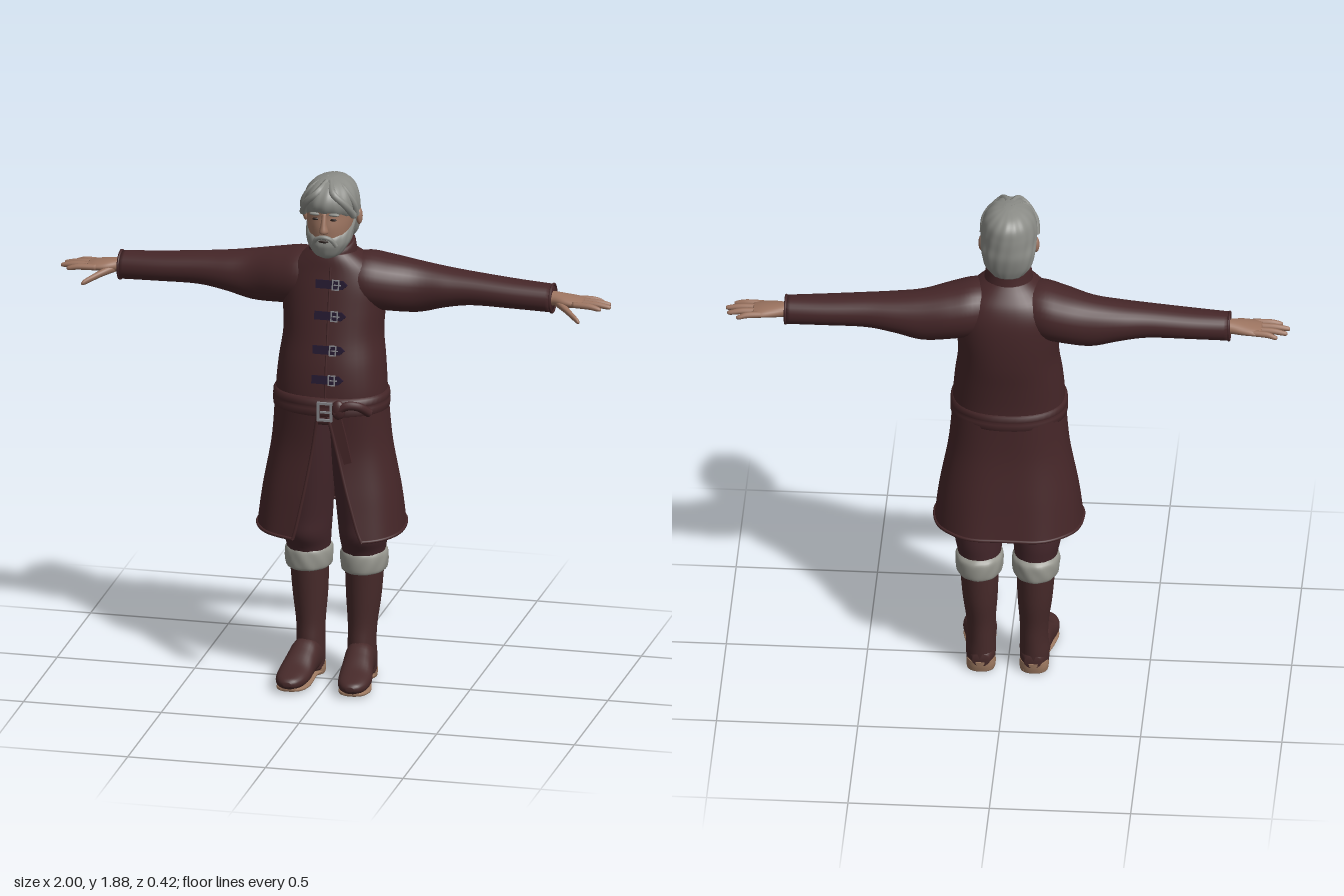
import * as THREE from 'three';

const mat = (name, color, side = THREE.FrontSide) => {
  const m = new THREE.MeshStandardMaterial({ color, side });
  m.name = name;
  return m;
};

// Smooth grid surface from fn(u, v) -> [x, y, z]; optionally closed round u and capped at both ends of v
function grid(fn, nu, nv, closed = false) {
  const pos = [], idx = [], cols = closed ? nu : nu + 1;
  for (let j = 0; j <= nv; j++) for (let i = 0; i < cols; i++) pos.push(...fn(i / nu, j / nv));
  const at = (i, j) => j * cols + (closed ? i % nu : i);
  for (let j = 0; j < nv; j++) for (let i = 0; i < nu; i++) {
    const a = at(i, j), b = at(i, j + 1), c = at(i + 1, j), d = at(i + 1, j + 1);
    idx.push(a, b, c, c, b, d);
  }
  if (closed) for (const end of [0, nv]) {
    const mid = [0, 0, 0], m = pos.length / 3;
    for (let i = 0; i < nu; i++) for (let k = 0; k < 3; k++) mid[k] += pos[at(i, end) * 3 + k] / nu;
    pos.push(...mid);
    for (let i = 0; i < nu; i++) idx.push(m, at(end ? i + 1 : i, end), at(end ? i : i + 1, end));
  }
  const g = new THREE.BufferGeometry();
  g.setAttribute('position', new THREE.Float32BufferAttribute(pos, 3));
  g.setIndex(idx);
  g.computeVertexNormals();
  return g;
}

// Catmull-Rom blend of rows of numbers
function blend(rows, t) {
  const n = rows.length - 1, i = Math.min(n - 1, Math.floor(t * n)), f = t * n - i;
  const r = k => rows[Math.max(0, Math.min(n, k))];
  return rows[0].map((_, k) => {
    const [a, b, c, d] = [r(i - 1)[k], r(i)[k], r(i + 1)[k], r(i + 2)[k]];
    return b + 0.5 * f * (c - a + f * (2 * a - 5 * b + 4 * c - d + f * (3 * (b - c) + d - a)));
  });
}

// Superellipse sections along an axis. Rows: y [y,x,z,rx,rz], x [x,z,y,rz,ry], z [z,y,x,ry,rx]
const order = { x: (t, a, b) => [t, b, a], y: (t, a, b) => [a, t, b], z: (t, a, b) => [b, a, t] };
function loft(axis, rows, { n = 28, steps = 5, p = 2, warp } = {}) {
  const pw = v => Math.sign(v) * Math.abs(v) ** (2 / p);
  return grid((u, v) => {
    const [t, a, b, ra, rb] = blend(rows, v), q = u * Math.PI * 2;
    const w = warp ? warp(q, t) : 1;
    return order[axis](t, a + ra * w * pw(Math.cos(q)), b + rb * w * pw(Math.sin(q)));
  }, n, (rows.length - 1) * steps, true);
}

function mirror(geo) {
  const g = geo.clone().scale(-1, 1, 1), ix = g.index.array;
  for (let i = 0; i < ix.length; i += 3) [ix[i], ix[i + 1]] = [ix[i + 1], ix[i]];
  g.computeVertexNormals();
  return g;
}

const tube = (pts, r, seg = 20, closed = false) => new THREE.TubeGeometry(
  new THREE.CatmullRomCurve3(pts.map(q => new THREE.Vector3(...q)), closed), seg, r, 8, closed);
const ball = (x, y, z, sx, sy, sz) => new THREE.SphereGeometry(1, 18, 12).scale(sx, sy, sz).translate(x, y, z);
const plate = (pts, depth) => new THREE.ExtrudeGeometry(
  new THREE.Shape(pts.map(q => new THREE.Vector2(...q))), { depth, bevelEnabled: false });
function frame(w, h, t, depth) {
  const rect = (a, b) => [[-a, -b], [a, -b], [a, b], [-a, b]].map(q => new THREE.Vector2(...q));
  const s = new THREE.Shape(rect(w / 2, h / 2));
  s.holes.push(new THREE.Path(rect(w / 2 - t, h / 2 - t)));
  return new THREE.ExtrudeGeometry(s, { depth, bevelEnabled: false });
}

export function createModel() {
  const model = new THREE.Group();
  model.name = 'beardedManInLongCoat';
  const coat = mat('coatMaroon', 0x452628, THREE.DoubleSide), trouser = mat('trouserMaroon', 0x43262a);
  const boot = mat('bootMaroon', 0x472a2a), skin = mat('skin', 0x9c7460), hair = mat('greyHair', 0x8b8c87);
  const fur = mat('cuffGrey', 0x97978f), strap = mat('strapPurple', 0x24172f), metal = mat('buckleMetal', 0x85858a);
  const sole = mat('soleTan', 0x9c7860), dark = mat('eyeDark', 0x2a1f1c);
  const add = (name, geo, m, parent = model) => {
    const o = new THREE.Mesh(geo, m);
    o.name = name;
    parent.add(o);
    return o;
  };
  const pair = (name, geo, m) => {
    add('left' + name, geo, m);
    add('right' + name, mirror(geo), m);
  };

  // Coat body and collar
  add('coatBody', loft('y', [[1.0, 0, .007, .198, .153], [1.1, 0, .007, .198, .153], [1.2, 0, -.003, .19, .153],
    [1.3, 0, -.02, .178, .15], [1.4, 0, -.032, .183, .143], [1.48, 0, -.037, .185, .132], [1.54, 0, -.033, .16, .115],
    [1.58, 0, -.02, .115, .095], [1.605, 0, -.01, .08, .078]], { n: 40, p: 2.25 }), coat);
  const collar = loft('y', [[1.565, 0, -.008, .094, .085], [1.6, 0, -.008, .086, .08], [1.632, 0, -.008, .08, .076],
    [1.635, 0, -.008, .07, .066]], { steps: 3 });
  const cp = collar.attributes.position;
  for (let i = 0; i < cp.count; i++) cp.setY(i, cp.getY(i) - cp.getZ(i) * .3);
  collar.computeVertexNormals();
  add('collar', collar, coat);
  add('placketSeam', tube([[.012, 1.56, .078], [.012, 1.48, .095], [.012, 1.4, .111], [.012, 1.3, .13],
    [.012, 1.2, .15], [.012, 1.1, .16]], .004), coat);

  // Sleeves
  pair('Sleeve', loft('x', [[.04, -.03, 1.49, .09, .09], [.12, -.042, 1.488, .112, .102], [.2, -.055, 1.477, .108, .099],
    [.3, -.07, 1.465, .088, .091], [.4, -.07, 1.47, .078, .071], [.5, -.068, 1.473, .068, .058],
    [.65, -.067, 1.466, .062, .052], [.785, -.067, 1.46, .053, .05]], { p: 2.1 }), coat);
  pair('SleeveHem', new THREE.TorusGeometry(.05, .005, 8, 28).rotateY(Math.PI / 2).translate(.784, 1.46, -.067), coat);

  // Hands
  pair('Palm', loft('x', [[.76, -.067, 1.46, .03, .026], [.79, -.067, 1.46, .032, .025], [.83, -.064, 1.457, .043, .023],
    [.87, -.065, 1.455, .048, .018], [.9, -.066, 1.453, .044, .012]]), skin);
  [[-.026, -.02, .972], [-.051, -.051, 1], [-.077, -.083, .993], [-.1, -.112, .96]].forEach(([z0, z1, tip], i) =>
    pair('Finger' + (i + 1), loft('x', [[.865, z0, 1.455, .011, .011], [(.88 + tip) / 2, (z0 + z1) / 2, 1.454, .011, .011],
      [tip - .012, z1, 1.448, .0085, .0085], [tip - .002, z1, 1.447, .004, .004]], { n: 12 }), skin));
  pair('Thumb', loft('x', [[.8, -.05, 1.453, .016, .016], [.84, -.02, 1.44, .018, .014], [.875, .012, 1.425, .012, .012],
    [.896, .028, 1.415, .01, .01], [.904, .033, 1.412, .004, .004]], { n: 14 }), skin);

  // Coat skirt, open at the front and draped in soft folds
  const rings = [[1.06, .008, .2, .158], [.9, 0, .214, .157], [.72, -.003, .246, .182], [.59, -.004, .262, .204]];
  const skirt = (u, v) => {
    const [y, zc, rx, rz] = blend(rings, v);
    const start = .03 + .5 * v, end = Math.PI * 2 - .02 - .3 * v;
    const q = start + (end - start) * u, pw = c => Math.sign(c) * Math.abs(c) ** .84;
    const fold = 1 + .025 * v * Math.cos(q * 7);
    return [rx * pw(Math.sin(q)) * (1 + .012 * v * Math.cos(q * 5)), y - .016 * v * Math.cos(q), zc + rz * fold * pw(Math.cos(q))];
  };
  add('coatSkirt', grid(skirt, 72, 20), coat);
  const along = (n, f) => Array.from({ length: n + 1 }, (_, i) => f(i / n));
  add('leftSkirtEdge', tube(along(10, t => skirt(0, t)), .006, 24), coat);
  add('rightSkirtEdge', tube(along(10, t => skirt(1, t)), .006, 24), coat);
  add('skirtHem', tube(along(40, t => skirt(t, 1)), .006, 90), coat);

  // Belt with buckle, tucked end and hanging tail
  add('belt', loft('y', [[1.03, 0, .01, .196, .152], [1.036, 0, .01, .207, .163], [1.06, 0, .01, .208, .164],
    [1.066, 0, .01, .201, .157], [1.072, 0, .01, .208, .164], [1.092, 0, .01, .206, .162], [1.1, 0, .01, .194, .15]],
  { n: 48, steps: 1, p: 2.2 }), coat);
  const buckle = add('beltBuckle', frame(.055, .07, .008, .01), metal);
  buckle.position.set(.015, 1.055, .174);
  add('buckleTongue', new THREE.BoxGeometry(.04, .007, .008).translate(.02, 1.055, .184), metal);
  add('beltKnot', ball(.062, 1.062, .17, .026, .036, .018), coat);
  add('beltEnd', tube([[.05, 1.05, .172], [.09, 1.078, .17], [.13, 1.075, .155], [.165, 1.045, .125]], .016), coat);
  add('beltTail', plate([[.03, 1.055], [.068, 1.055], [.09, .97], [.112, .872], [.085, .862], [.058, .95]], .012)
    .translate(0, 0, .164), coat);

  // Chest clasps
  [[1.5, .088], [1.39, .109], [1.27, .133], [1.165, .151]].forEach(([y, z], i) => {
    const g = new THREE.Group();
    g.name = 'clasp' + (i + 1);
    g.position.set(0, y, z);
    g.rotation.x = -.17;
    model.add(g);
    add('claspStrap', plate([[-.038, -.015], [.06, -.015], [.076, 0], [.06, .015], [-.038, .015]], .014).translate(0, 0, -.006), strap, g);
    add('claspBuckle', frame(.026, .038, .004, .006).translate(.035, 0, .007), metal, g);
    add('claspTongue', new THREE.BoxGeometry(.026, .004, .004).translate(.042, 0, .011), metal, g);
  });

  // Legs, fur cuffs and boots
  pair('TrouserLeg', loft('y', [[.4, .1, -.065, .068, .08], [.48, .1, -.058, .077, .09], [.54, .103, -.045, .086, .107],
    [.62, .1, -.04, .09, .107], [.8, .092, -.02, .094, .11], [1, .088, 0, .095, .12]]), trouser);
  pair('FurCuff', loft('y', [[.4, .1, -.065, .068, .085], [.408, .1, -.065, .08, .096], [.44, .1, -.065, .085, .1],
    [.47, .1, -.065, .083, .098], [.485, .1, -.062, .07, .086]],
  { n: 40, steps: 4, warp: (q, t) => 1 + .012 * Math.sin(q * 9 + t * 70) }), fur);
  pair('BootShaft', loft('y', [[.02, .095, -.06, .05, .06], [.07, .095, -.058, .053, .065], [.13, .093, -.06, .05, .066],
    [.2, .094, -.065, .052, .066], [.3, .097, -.07, .062, .077], [.42, .1, -.07, .069, .086]]), boot);
  pair('BootFoot', loft('z', [[-.122, .05, .092, .025, .028], [-.08, .06, .094, .05, .05], [-.01, .078, .098, .066, .053],
    [.05, .065, .104, .053, .056], [.11, .047, .11, .036, .06], [.165, .04, .113, .028, .053], [.2, .038, .114, .02, .035],
    [.214, .038, .114, .008, .014]], { p: 2.3 }), boot);
  pair('Sole', loft('z', [[-.11, .008, .092, .008, .035], [-.06, .008, .094, .008, .05], [0, .012, .098, .008, .044],
    [.06, .01, .105, .008, .052], [.12, .01, .111, .009, .058], [.17, .012, .113, .009, .048], [.2, .016, .114, .007, .028]],
  { p: 3 }), sole);
  pair('Heel', loft('y', [[0, .094, -.068, .05, .05], [.02, .094, -.068, .052, .054], [.042, .094, -.068, .049, .056]],
    { p: 2.4 }), sole);

  // Head and neck
  add('neck', loft('y', [[1.56, 0, -.01, .06, .06], [1.62, 0, -.005, .058, .06], [1.7, 0, 0, .06, .065]]), skin);
  add('head', loft('y', [[1.612, 0, .07, .035, .04], [1.64, 0, .045, .06, .08], [1.68, 0, .03, .075, .1],
    [1.72, 0, .022, .082, .11], [1.76, 0, .014, .085, .113], [1.8, 0, .012, .083, .113], [1.84, 0, .007, .068, .09],
    [1.86, 0, .007, .04, .05]], { n: 36 }), skin);
  add('nose', loft('y', [[1.7, 0, .128, .008, .008], [1.709, 0, .131, .017, .02], [1.735, 0, .131, .011, .014],
    [1.775, 0, .122, .008, .009]], { n: 16 }), skin);
  add('mouth', ball(0, 1.673, .134, .018, .005, .006), dark);
  pair('Eye', ball(.032, 1.752, .121, .012, .005, .005), dark);
  pair('Brow', ball(.034, 1.771, .12, .021, .006, .009).translate(0, 0, 0), hair);
  pair('Ear', ball(.097, 1.732, -.005, .011, .03, .018), skin);

  // Hair, beard and moustache
  const strands = (q, t) => 1 + .014 * Math.sin(q * 15 + t * 30);
  add('hair', loft('y', [[1.635, 0, -.05, .055, .04], [1.67, 0, -.043, .083, .06], [1.72, 0, -.03, .096, .084],
    [1.76, 0, 0, .099, .114], [1.8, 0, .012, .098, .124], [1.84, 0, .01, .084, .114], [1.868, 0, .008, .055, .08],
    [1.88, 0, .008, .015, .02]], { n: 72, warp: strands }), hair);
  pair('ForelockFront', tube([[.006, 1.868, .05], [.03, 1.845, .112], [.07, 1.805, .103], [.092, 1.755, .062]], .013), hair);
  pair('ForelockSide', tube([[.008, 1.87, .01], [.055, 1.85, .06], [.09, 1.8, .055], [.095, 1.75, .035]], .012), hair);
  add('beard', loft('y', [[1.6, 0, .075, .02, .025], [1.612, 0, .07, .046, .048], [1.638, 0, .06, .067, .07],
    [1.662, 0, .047, .08, .088], [1.69, 0, .034, .084, .09], [1.72, 0, .01, .088, .06], [1.745, 0, .005, .087, .03]],
  { n: 60, warp: (q, t) => 1 + .01 * Math.sin(q * 16 + t * 40) }), hair);
  add('moustache', tube([[-.042, 1.655, .118], [-.024, 1.682, .131], [0, 1.69, .137], [.024, 1.682, .131], [.042, 1.655, .118]], .008), hair);

  return model;
}
